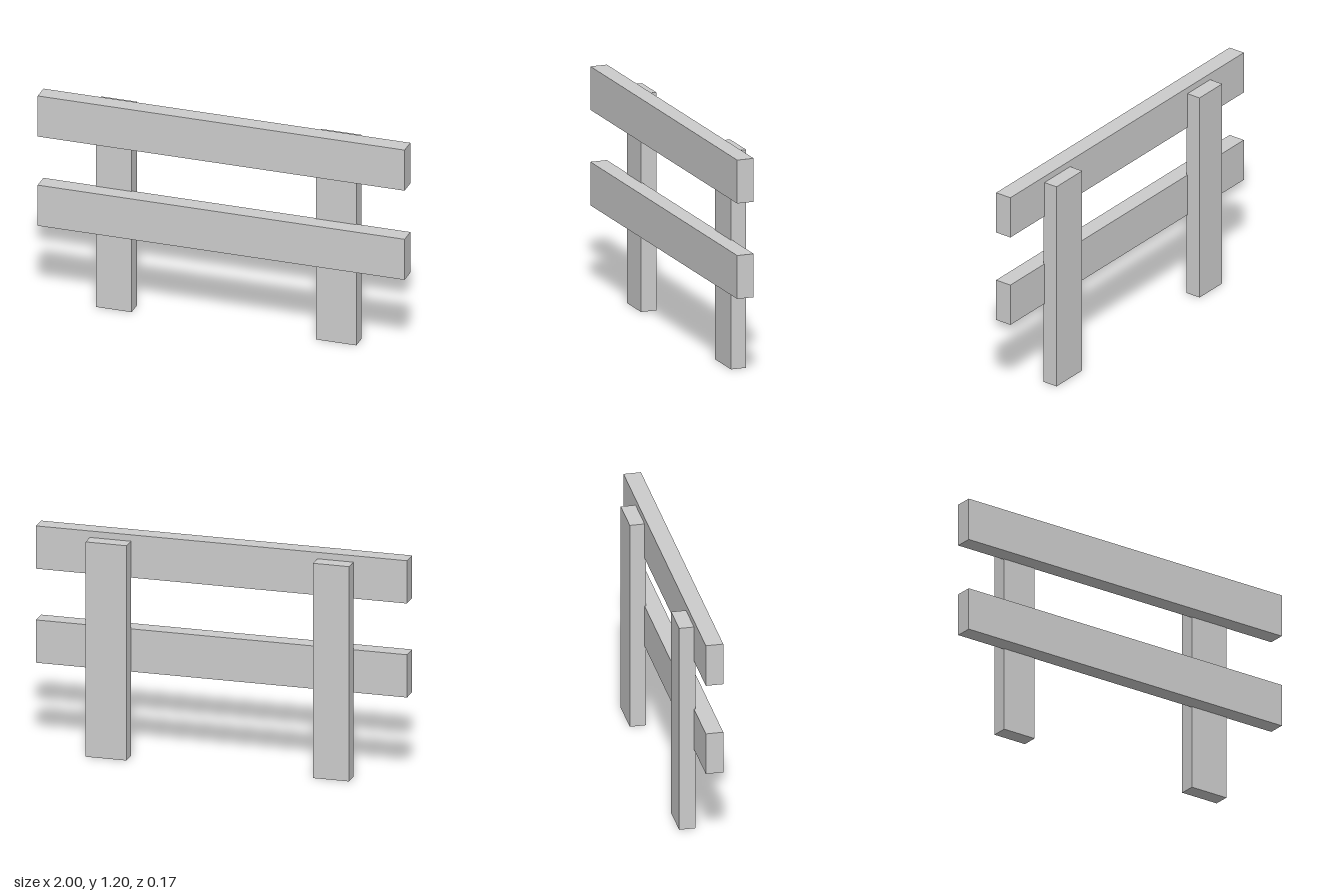
import * as THREE from 'three';

const material = new THREE.MeshStandardMaterial({ color: 0xcccccc, flatShading: true });

// Box given by its extents along each axis
function board(name, [x0, x1], [y0, y1], [z0, z1]) {
  const mesh = new THREE.Mesh(new THREE.BoxGeometry(x1 - x0, y1 - y0, z1 - z0), material);
  mesh.position.set((x0 + x1) / 2, (y0 + y1) / 2, (z0 + z1) / 2);
  mesh.name = name;
  return mesh;
}

export function createModel() {
  const fence = new THREE.Group();
  fence.name = 'fence';

  // Upright posts behind the rails; the left one is slightly wider
  const postY = [0, 1.165], postZ = [-0.085, 0];
  fence.add(board('rightPost', [-0.711, -0.517], postY, postZ));
  fence.add(board('leftPost', [0.488, 0.708], postY, postZ));

  // Horizontal rails, set slightly into the posts
  const railX = [-1, 1], railZ = [-0.007, 0.085];
  fence.add(board('lowerRail', railX, [0.458, 0.69], railZ));
  fence.add(board('upperRail', railX, [0.968, 1.2], railZ));

  return fence;
}
